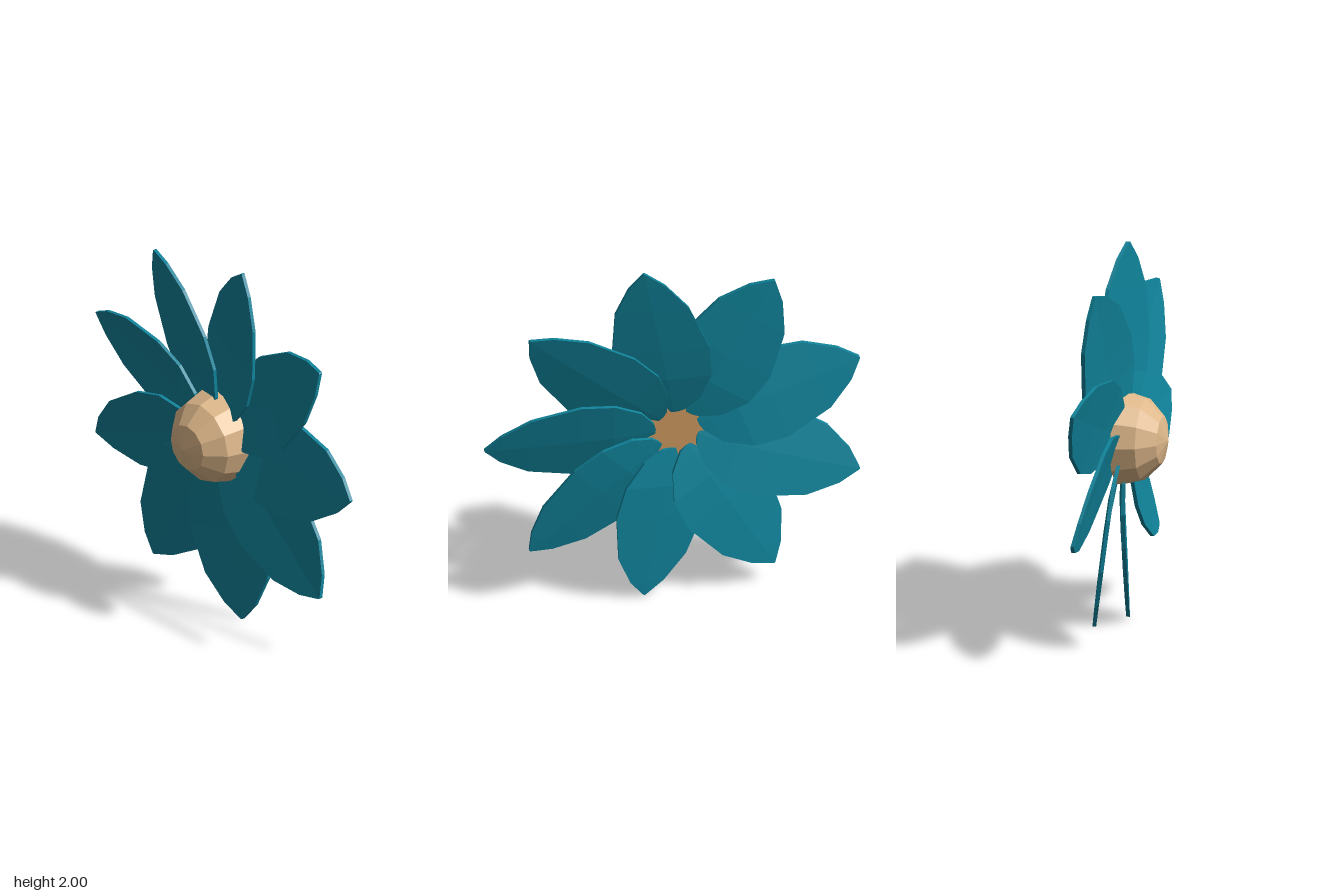
import * as THREE from 'three';

// Half-outline of a petal: [distance from flower centre, half width]
const OUTLINE = [
  [0.114, 0.02], [0.125, 0.058], [0.194, 0.149], [0.337, 0.228],
  [0.517, 0.247], [0.777, 0.188], [0.931, 0.093], [1.016, 0.004],
];
const HALF_THICK = 0.01;
const SLOPE = 0.265; // pinwheel pitch of each petal
const FOLD = 0.008; // raised midrib

// Petal pointing along +z, thin along x, lofted from six-point sections
function petalGeometry() {
  const pos = [];
  const index = [];
  const n = 6;
  OUTLINE.forEach(([r, w]) => {
    const mid = 0.09 - 0.02 * Math.max(0, 1 - (r - 0.114) / 0.25);
    const rib = FOLD * w / 0.247;
    const add = (v, side) => pos.push(
      mid + v * SLOPE + (v === 0 ? rib : 0) + side * HALF_THICK, v, r);
    [-w, 0, w].forEach((v) => add(v, 1));
    [w, 0, -w].forEach((v) => add(v, -1));
  });
  const last = (OUTLINE.length - 1) * n;
  for (let s = 0; s < last; s += n) {
    for (let j = 0; j < n; j++) {
      const a = s + j;
      const b = s + (j + 1) % n;
      index.push(a, b, b + n, a, b + n, a + n);
    }
  }
  // Base and tip caps
  [[0, 1, 4, 5], [1, 2, 3, 4]].forEach(([a, b, c, d]) => {
    index.push(a, c, b, a, d, c);
    index.push(last + a, last + b, last + c, last + a, last + c, last + d);
  });
  const indexed = new THREE.BufferGeometry();
  indexed.setAttribute('position', new THREE.Float32BufferAttribute(pos, 3));
  indexed.setIndex(index);
  const geometry = indexed.toNonIndexed();
  geometry.computeVertexNormals();
  return geometry;
}

function material(name, color) {
  const m = new THREE.MeshStandardMaterial({ color, flatShading: true });
  m.name = name;
  return m;
}

export function createModel() {
  const model = new THREE.Group();
  model.name = 'flower';
  const teal = material('teal petal', 0x10839a);
  const cream = material('pale tan', 0xdeb88a);
  const tan = material('tan', 0xcf9b60);

  const head = new THREE.Group();
  head.name = 'flowerHead';
  head.position.set(0, 1, -0.027);
  model.add(head);

  // Nine overlapping petals around the x axis
  const geometry = petalGeometry();
  for (let i = 0; i < 9; i++) {
    const petal = new THREE.Mesh(geometry, teal);
    petal.name = `petal${i + 1}`;
    petal.rotation.x = -i * Math.PI * 2 / 9;
    head.add(petal);
  }

  // Domed centre facing -x
  const domeGeometry = new THREE.SphereGeometry(0.25, 12, 3, 0, Math.PI * 2, 0, Math.PI / 2);
  domeGeometry.rotateZ(Math.PI / 2);
  const dome = new THREE.Mesh(domeGeometry, cream);
  dome.name = 'centreDome';
  dome.position.x = 0.077;
  head.add(dome);

  // Flat back of the centre
  const back = new THREE.Mesh(new THREE.CircleGeometry(0.25, 12), tan);
  back.name = 'centreBack';
  back.rotation.y = Math.PI / 2;
  back.position.x = 0.077;
  head.add(back);

  return model;
}
